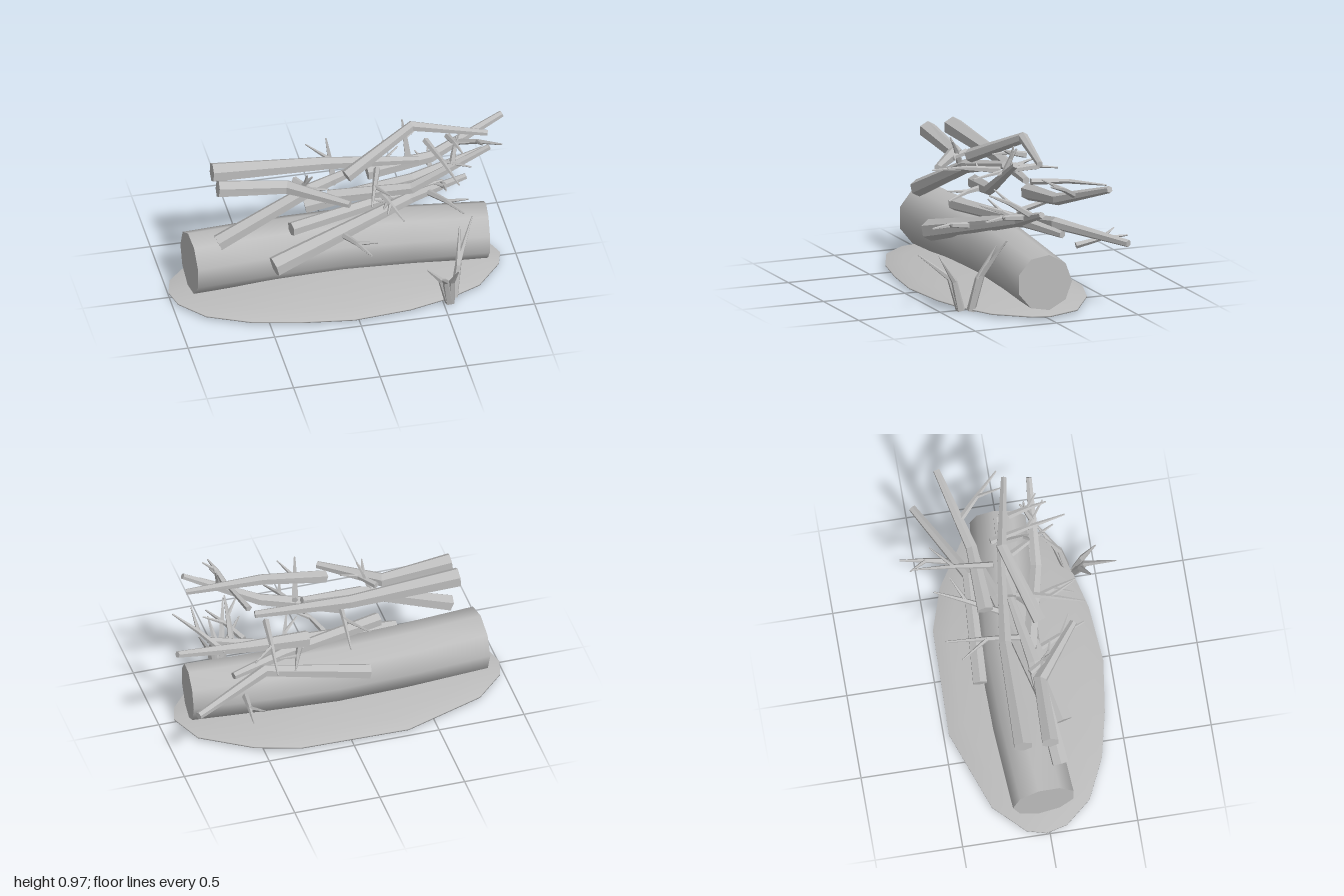
import * as THREE from 'three';

const grey = new THREE.MeshStandardMaterial({ color: 0xbcbcbc });
grey.name = 'grey wood';

// Joins closed rings of points into a skin with flat end caps
function skin(rings, smooth) {
  const pos = [], idx = [], n = rings[0].length;
  rings.forEach(r => r.forEach(p => pos.push(p.x, p.y, p.z)));
  for (let k = 0; k < rings.length - 1; k++) {
    for (let i = 0; i < n; i++) {
      const a = k * n + i, b = k * n + (i + 1) % n;
      idx.push(a, b, b + n, a, b + n, a + n);
    }
  }
  const cap = (ring, flip) => {
    const s = pos.length / 3;
    ring.forEach(p => pos.push(p.x, p.y, p.z));
    for (let i = 1; i < n - 1; i++) idx.push(s, s + (flip ? i + 1 : i), s + (flip ? i : i + 1));
  };
  cap(rings[0], true);
  cap(rings[rings.length - 1], false);
  let g = new THREE.BufferGeometry();
  g.setAttribute('position', new THREE.Float32BufferAttribute(pos, 3));
  g.setIndex(idx);
  if (!smooth) g = g.toNonIndexed();
  g.computeVertexNormals();
  return g;
}

// Bent, tapering limb: points are [x, y, z, radius], phase turns the cross-section
function limb(points, sides, phase = 0.5, smooth = false) {
  const c = points.map(p => new THREE.Vector3(p[0], p[1], p[2]));
  const last = c.length - 1;
  const along = c[last].clone().sub(c[0]).normalize();
  const ref = Math.abs(along.y) > 0.7 ? new THREE.Vector3(1, 0, 0) : new THREE.Vector3(0, 1, 0);
  const dir = (i, j) => c[j].clone().sub(c[i]).normalize();
  const rings = c.map((p, k) => {
    const t = dir(Math.max(k - 1, 0), Math.max(k, 1));
    t.add(dir(Math.min(k, last - 1), Math.min(k + 1, last))).normalize();
    const u = ref.clone().cross(t).normalize(), v = t.clone().cross(u);
    return Array.from({ length: sides }, (_, i) => {
      const a = (i + phase) / sides * Math.PI * 2, r = points[k][3];
      return p.clone().addScaledVector(u, Math.cos(a) * r).addScaledVector(v, Math.sin(a) * r);
    });
  });
  return skin(rings, smooth);
}

export function createModel() {
  const model = new THREE.Group();
  const add = (name, geometry) => {
    const m = new THREE.Mesh(geometry, grey);
    m.name = name;
    model.add(m);
  };

  // Low earth mound with an uneven oval rim
  const rim = [[-1, -0.02], [-0.97, 0.1], [-0.84, 0.25], [-0.6, 0.36], [-0.33, 0.42], [-0.03, 0.46],
    [0.3, 0.43], [0.53, 0.37], [0.73, 0.28], [0.88, 0.1], [0.91, 0], [0.83, -0.2], [0.55, -0.38],
    [0.3, -0.46], [-0.33, -0.47], [-0.8, -0.3], [-0.97, -0.13]];
  const level = (s, y) => rim.map(([x, z]) => new THREE.Vector3(x * s, y, z * s));
  add('mound', skin([level(0.15, 0), level(1, 0.014), level(1, 0.022), level(0.82, 0.047), level(0.5, 0.07),
    level(0.15, 0.08)], true));

  // Fallen log, slightly bowed
  add('log', limb([[-0.88, 0.215, -0.015, 0.181], [-0.4, 0.212, -0.05, 0.18], [0, 0.207, -0.06, 0.178],
    [0.4, 0.2, -0.035, 0.17], [0.83, 0.195, 0, 0.163]], 9, 0, true));

  // Piled branches, each with one elbow
  const branches = [
    [[-0.73, 0.75, -0.11, 0.058], [-0.09, 0.715, -0.11, 0.04], [0.45, 0.7, -0.05, 0.022]],
    [[-0.73, 0.745, 0.045, 0.052], [-0.33, 0.7, 0.05, 0.042], [-0.02, 0.7, 0.29, 0.022]],
    [[-0.74, 0.41, 0.1, 0.05], [-0.2, 0.65, 0.035, 0.04], [0.17, 0.73, -0.04, 0.022]],
    [[-0.43, 0.24, 0.16, 0.062], [0.4, 0.46, -0.03, 0.035], [0.72, 0.56, -0.03, 0.018]],
    [[-0.31, 0.415, 0.065, 0.042], [0.3, 0.425, -0.1, 0.035], [0.62, 0.41, -0.2, 0.022]],
    [[-0.09, 0.58, 0.03, 0.045], [0.37, 0.65, 0.14, 0.035], [0.81, 0.89, 0.17, 0.018]],
    [[0, 0.76, 0.1, 0.04], [0.41, 0.94, -0.05, 0.032], [0.83, 0.885, 0.03, 0.018]],
    [[0.18, 0.565, -0.18, 0.05], [0.55, 0.6, -0.2, 0.035], [0.99, 0.74, -0.33, 0.02]],
    [[-0.16, 0.32, -0.265, 0.045], [0.45, 0.435, -0.235, 0.036], [0.91, 0.395, -0.48, 0.022]],
  ];
  branches.forEach(b => add('branch', limb(b, 6)));

  // Thin twigs from root to tip, each forking into a side shoot halfway along
  const twigs = [
    [0.4, 0.68, -0.1, 0.46, 0.63, -0.54], [0.58, 0.33, -0.3, 0.62, 0.37, -0.6],
    [0.69, 0.64, -0.26, 0.92, 0.77, 0], [-0.06, 0.68, 0.04, 0, 0.64, -0.44],
    [0.2, 0.46, -0.1, 0.33, 0.57, -0.45], [-0.02, 0.35, 0.09, 0.09, 0.38, 0.37],
    [-0.26, 0.66, 0.05, -0.2, 0.8, 0.12], [-0.28, 0.71, 0, -0.14, 0.68, 0.22],
    [0.18, 0.62, 0.08, 0.28, 0.58, 0.35], [0.2, 0.71, 0, 0.09, 0.72, 0.37],
    [0.6, 0.79, 0.15, 0.64, 0.94, 0.09], [0.5, 0.79, -0.1, 0.6, 0.775, 0.34],
    [0.58, 0.53, -0.02, 0.55, 0.66, 0.22], [0.5, 0.5, 0, 0.64, 0.53, 0.28],
    [0.3, 0.42, -0.1, 0.21, 0.52, 0.13], [0.6, 0.89, 0.02, 0.64, 0.92, 0.24],
  ];
  const up = new THREE.Vector3(0, 1, 0);
  twigs.forEach((t, i) => {
    const root = new THREE.Vector3(...t.slice(0, 3)), tip = new THREE.Vector3(...t.slice(3));
    const mid = root.clone().lerp(tip, 0.5);
    mid.y += 0.012;
    const side = tip.clone().sub(root).multiplyScalar(0.4).applyAxisAngle(up, i % 2 ? 0.7 : -0.7);
    const end = mid.clone().add(side);
    end.y += 0.02;
    add('twig', limb([[...root, 0.02], [...mid, 0.014], [...tip, 0.005]], 5));
    add('sideShoot', limb([[...mid, 0.013], [...end, 0.004]], 5));
  });

  // Bare sprouts growing in two clumps beside the log
  const sprouts = [
    [[0.53, 0.01, 0.39], [0.5, 0.19, 0.44], [0.44, 0.33, 0.61]],
    [[0.54, 0.01, 0.39], [0.54, 0.18, 0.43], [0.56, 0.3, 0.51]],
    [[0.53, 0.01, 0.39], [0.48, 0.18, 0.41], [0.39, 0.3, 0.46]],
    [[0.57, 0.01, 0.34], [0.61, 0.22, 0.29], [0.71, 0.43, 0.18]],
    [[0.57, 0.01, 0.34], [0.6, 0.2, 0.31], [0.63, 0.39, 0.21]],
  ];
  const girth = [0.026, 0.018, 0.004];
  sprouts.forEach(s => add('sprout', limb(s.map((p, i) => [...p, girth[i]]), 5)));

  return model;
}
